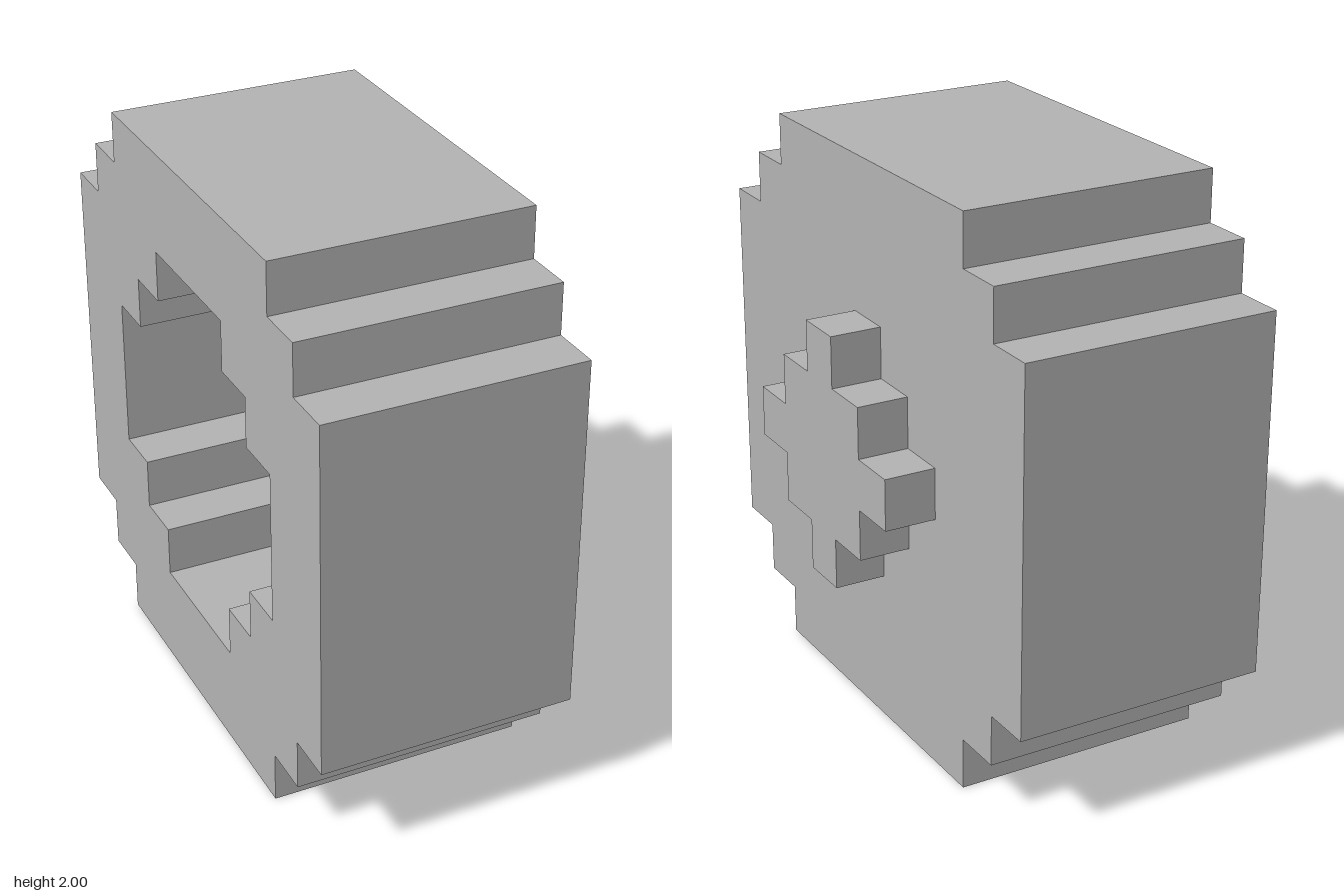
import * as THREE from 'three';

const U = 2 / 11; // one block

// Stepped outlines: one quadrant of corners in blocks, repeated by quarter turns
const OUTER = [[5.5, 3.5], [4.5, 3.5], [4.5, 4.5], [3.5, 4.5], [3.5, 5.5]];
const BORE = [[3.5, 1.5], [2.5, 1.5], [2.5, 2.5], [1.5, 2.5], [1.5, 3.5]];
const CROSS = [[3.5, 0.5], [1.5, 0.5], [1.5, 1.5], [0.5, 1.5], [0.5, 3.5]];
const HUB = [[2.5, 0.5], [1.5, 0.5], [1.5, 1.5], [0.5, 1.5], [0.5, 2.5]];

function outline(quadrant) {
  const points = [];
  for (let turn = 0; turn < 4; turn++) {
    for (const [a, b] of quadrant) {
      const [x, y] = [[a, b], [-b, a], [-a, -b], [b, -a]][turn];
      points.push(new THREE.Vector2(x * U, y * U));
    }
  }
  return points;
}

export function createModel() {
  const group = new THREE.Group();
  group.name = 'blockWheel';
  const grey = new THREE.MeshStandardMaterial({ color: 0xb2b2b2 });
  grey.name = 'grey';

  // A slab running along x, from and to counted in blocks
  function slab(name, from, to, edge, hole) {
    const shape = new THREE.Shape(outline(edge));
    if (hole) shape.holes.push(new THREE.Path(outline(hole)));
    const geometry = new THREE.ExtrudeGeometry(shape, { depth: (to - from) * U, bevelEnabled: false });
    geometry.rotateY(Math.PI / 2);
    geometry.translate(from * U, 1, 0);
    const mesh = new THREE.Mesh(geometry, grey);
    mesh.name = name;
    group.add(mesh);
  }

  slab('tyreRim', -3, 0, OUTER, BORE);        // open inner side
  slab('recessPlate', 0, 1, OUTER, CROSS);    // cross-shaped recess
  slab('outerDisc', 1, 2, OUTER);             // closed outer face
  slab('hubCap', 2, 3, HUB);                  // raised hub

  return group;
}
